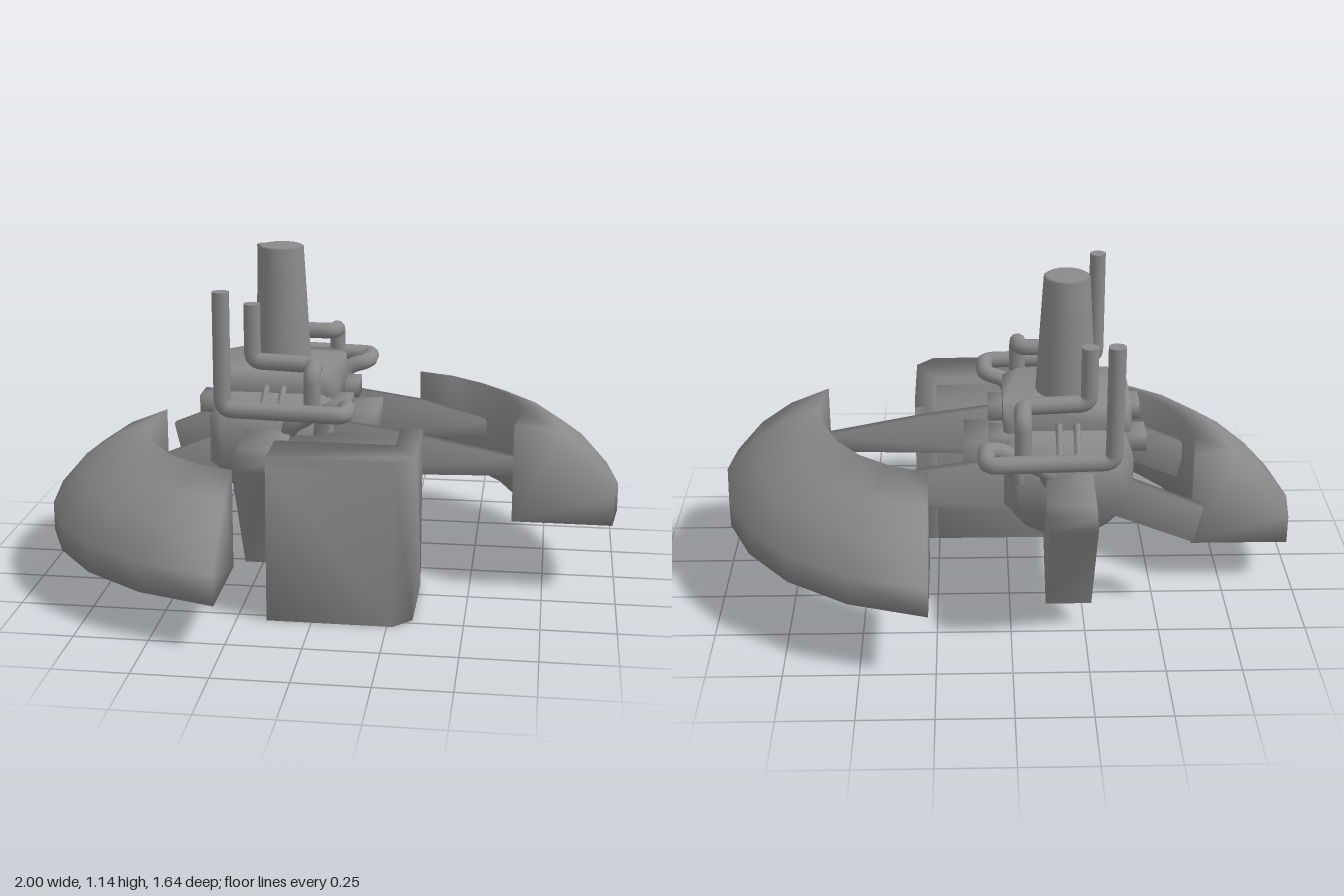
import * as THREE from 'three';
import { mergeVertices } from 'three/addons/utils/BufferGeometryUtils.js';

const CX = -0.195, CZ = -0.11; // centre of the core

export function createModel() {
  const root = new THREE.Group();
  const mat = new THREE.MeshStandardMaterial({ color: 0x8a8a8a, side: THREE.DoubleSide });

  // Every part is shaded smoothly, also across its corners
  const add = (name, source) => {
    source.deleteAttribute('normal');
    source.deleteAttribute('uv');
    const geo = mergeVertices(source, 1e-4);
    geo.computeVertexNormals();
    const mesh = new THREE.Mesh(geo, mat);
    mesh.name = name;
    root.add(mesh);
    return mesh;
  };

  // Skin a list of equal-sized closed rings and cap both ends
  const loft = (rings) => {
    const n = rings[0].length, idx = [];
    for (let i = 0; i < rings.length - 1; i++)
      for (let j = 0; j < n; j++) {
        const a = i * n + j, b = i * n + (j + 1) % n;
        idx.push(a, b, a + n, b, b + n, a + n);
      }
    const last = (rings.length - 1) * n;
    for (let j = 1; j < n - 1; j++)
      idx.push(0, j + 1, j, last, last + j, last + j + 1);
    const geo = new THREE.BufferGeometry();
    geo.setAttribute('position', new THREE.Float32BufferAttribute(rings.flat(2), 3));
    geo.setIndex(idx);
    return geo;
  };

  // Chamfered rectangle ring around the core axis
  const octagon = (y, hx, hz, c) => [
    [hx, hz - c], [hx - c, hz], [-hx + c, hz], [-hx, hz - c],
    [-hx, -hz + c], [-hx + c, -hz], [hx - c, -hz], [hx, -hz + c],
  ].map(([x, z]) => [CX + x, y, CZ + z]).reverse();

  // Outline extruded through a thickness
  const extrude = (pts, depth) => new THREE.ExtrudeGeometry(
    new THREE.Shape(pts.map((p) => new THREE.Vector2(...p))), { depth, bevelEnabled: false });

  // Curved guards: two arcs facing each other, one lower
  const inner = [[0.27, -0.48], [0.39, -0.435], [0.5, -0.35], [0.585, -0.235], [0.635, -0.11], [0.66, 0.03], [0.64, 0.19]];
  const outer = [[0.27, -0.82], [0.53, -0.735], [0.735, -0.59], [0.88, -0.405], [0.965, -0.205], [1, 0.03], [0.98, 0.19]];
  const section = [[0, 0], [0, 0.34], [0.4, 0.285], [0.72, 0.21], [1, 0.1], [1, 0]];
  for (const [name, s, y0] of [['backGuard', 1, 0.26], ['frontGuard', -1, 0.16]])
    add(name, loft(inner.map(([ix, iz], i) => section.map(([t, h]) => [
      s * (ix + (outer[i][0] - ix) * t), y0 + h, s * (iz + (outer[i][1] - iz) * t)]))));

  // Core
  add('coreBody', loft([
    octagon(0.28, 0.14, 0.2, 0.05), octagon(0.42, 0.215, 0.305, 0.05),
    octagon(0.58, 0.215, 0.305, 0.05), octagon(0.65, 0.19, 0.2, 0.05)]));
  add('coreTop', loft([
    octagon(0.56, 0.215, 0.175, 0.03), octagon(0.66, 0.215, 0.175, 0.03),
    octagon(0.73, 0.215, 0.175, 0.06)]));
  const towerProfile = [[0.105, 0.7], [0.078, 1.135], [0.07, 1.14], [0, 1.14]];
  add('tower', new THREE.LatheGeometry(towerProfile.map((p) => new THREE.Vector2(...p)), 20))
    .position.set(CX, 0, CZ);
  for (const sx of [-1, 1]) for (const sz of [-1, 1])
    add('cornerBlock', new THREE.BoxGeometry(0.09, 0.06, 0.105))
      .position.set(CX + sx * 0.22, 0.603, CZ + sz * 0.125);
  add('sideBlock', new THREE.BoxGeometry(0.17, 0.14, 0.19)).position.set(0.07, 0.5, -0.115);

  // Struts reaching out to the guards
  const rightStrut = (end) => [[-0.05, 0.38], [end, 0.4], [end, 0.46], [0.3, 0.53], [-0.05, 0.58]];
  const leftStrut = [[-0.34, 0.38], [-0.34, 0.53], [-0.65, 0.4], [-0.62, 0.27]];
  for (const [name, pts, z] of [
    ['rightStrutBack', rightStrut(0.56), -0.33], ['rightStrutFront', rightStrut(0.66), 0.1],
    ['leftStrutBack', leftStrut, -0.36], ['leftStrutFront', leftStrut, 0.125]])
    add(name, extrude(pts, 0.034)).position.z = z - 0.017;

  // Tilted pads before and behind the core, measured outward from its centre
  const pad = [[0.1, 0.32], [0.17, 0.22], [0.36, 0.09], [0.585, 0.49], [0.565, 0.53], [0.5, 0.54], [0.25, 0.56]];
  for (const s of [-1, 1]) {
    const mesh = add(s > 0 ? 'frontPad' : 'backPad', extrude(pad, 0.155));
    mesh.rotation.y = -s * Math.PI / 2;
    mesh.position.set(CX + s * 0.0775, 0, CZ);
  }

  // Large box with one cut corner and a raised rim along its two outer sides
  const outline = [[-0.15, -0.54], [0.27, -0.54], [0.33, -0.475], [0.33, -0.15]];
  add('frontBox', extrude([...outline, [-0.15, -0.15]], 0.54).rotateX(-Math.PI / 2));
  add('frontBoxRim', extrude([...outline, [0.255, -0.15], [0.255, -0.345], [-0.15, -0.345]], 0.565)
    .rotateX(-Math.PI / 2));

  // Pipes with rounded bends and closed tops, mirrored front to back
  const pipe = (name, pts, s) => {
    const v = pts.map(([x, y, z]) => new THREE.Vector3(x, y, CZ + s * z));
    const path = new THREE.CurvePath();
    let from = v[0];
    for (let i = 1; i < v.length - 1; i++) {
      const a = v[i].clone().add(v[i - 1].clone().sub(v[i]).setLength(0.035));
      const b = v[i].clone().add(v[i + 1].clone().sub(v[i]).setLength(0.035));
      path.add(new THREE.LineCurve3(from, a));
      path.add(new THREE.QuadraticBezierCurve3(a, v[i], b));
      from = b;
    }
    path.add(new THREE.LineCurve3(from, v[v.length - 1]));
    add(name, new THREE.TubeGeometry(path, 90, 0.029, 10));
    add(name + 'Cap', new THREE.CircleGeometry(0.029, 10).rotateX(-Math.PI / 2))
      .position.copy(v[0]);
  };
  for (const s of [-1, 1]) {
    pipe('tallPipe', [[-0.33, 1.06, 0.43], [-0.33, 0.66, 0.43], [0.08, 0.65, 0.43],
      [0.08, 0.65, 0.31], [0, 0.63, 0.3], [-0.03, 0.52, 0.28]], s);
    pipe('shortPipe', [[-0.26, 0.98, 0.24], [-0.26, 0.78, 0.24], [-0.04, 0.775, 0.25],
      [-0.04, 0.77, 0.34], [-0.04, 0.62, 0.34], [-0.12, 0.58, 0.33], [-0.13, 0.5, 0.27]], s);
    // Thin feed lines lying on the sloping shoulders
    for (const x of [-0.225, -0.165]) {
      const line = add('feedLine', new THREE.CylinderGeometry(0.012, 0.012, 0.13, 8));
      line.rotation.x = s * (Math.PI / 2 + 0.6);
      line.position.set(x, 0.633, CZ + s * 0.225);
    }
  }
  return root;
}
